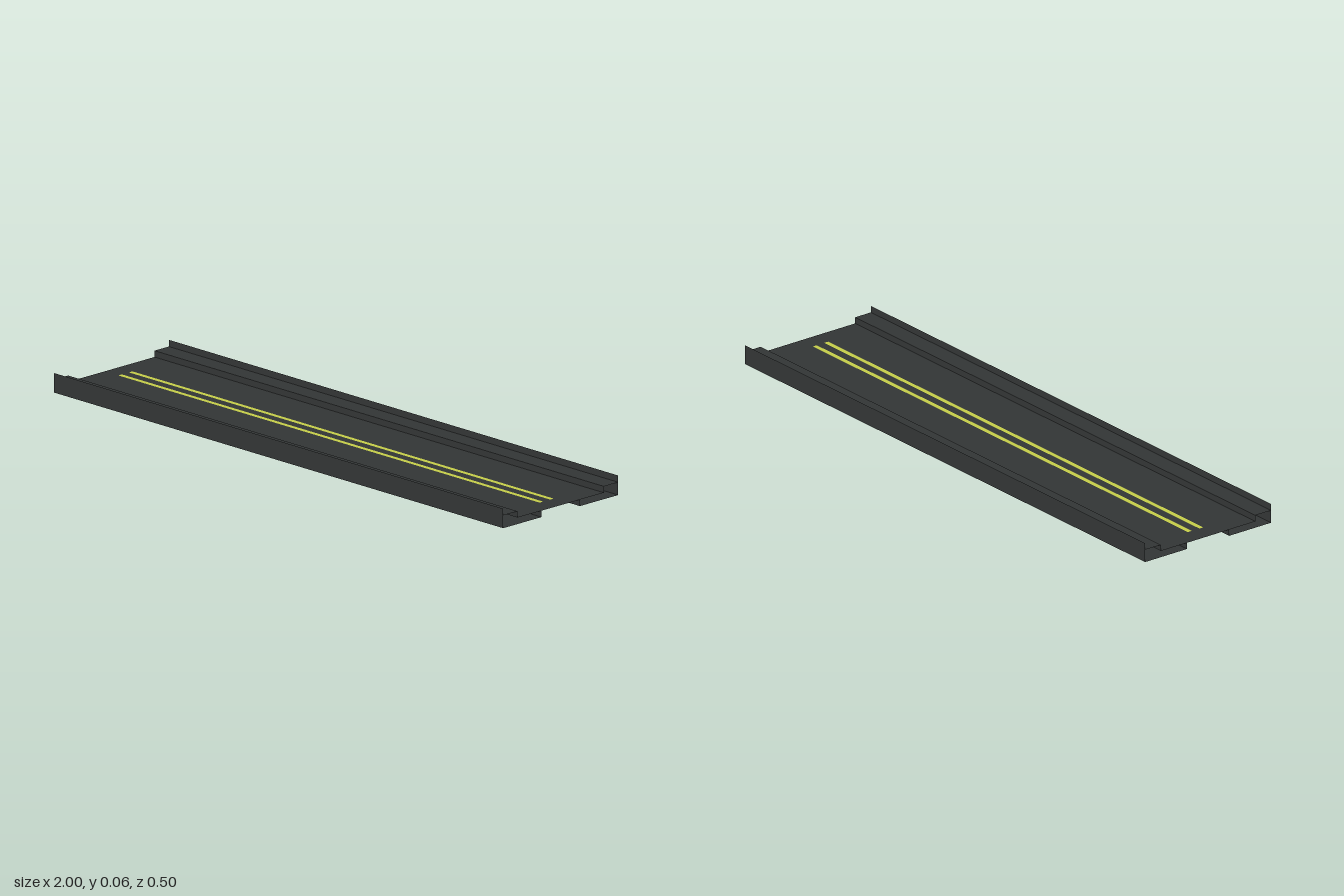
import * as THREE from 'three';

const LENGTH = 2, HALF_WIDTH = 0.25, TOP = 0.0635;
const CURB_Z = 0.1875, CURB_Y = 0.0417, ROAD_Y = 0.021, CHANNEL_Z = 0.0833;

const asphalt = new THREE.MeshStandardMaterial({ color: 0x333636, side: THREE.DoubleSide });
const paint = new THREE.MeshStandardMaterial({ color: 0xc8d04a, side: THREE.DoubleSide });

// Flat sheet running along x between two (z, y) points of the cross-section
function sheet(name, [z0, y0], [z1, y1], material = asphalt, length = LENGTH) {
  const geometry = new THREE.PlaneGeometry(length, Math.hypot(z1 - z0, y1 - y0));
  geometry.rotateX(Math.atan2(z1 - z0, y1 - y0));
  const mesh = new THREE.Mesh(geometry, material);
  mesh.position.set(0, (y0 + y1) / 2, (z0 + z1) / 2);
  mesh.name = name;
  return mesh;
}

export function createModel() {
  const group = new THREE.Group();
  group.name = 'roadSegment';

  // Road deck, also the roof of the open channel underneath
  group.add(sheet('roadDeck', [CURB_Z, ROAD_Y], [-CURB_Z, ROAD_Y]));

  for (const s of [1, -1]) {
    const side = new THREE.Group();
    side.name = s > 0 ? 'frontSide' : 'backSide';
    // Order the ends so that the upper faces point up and the walls point outward
    const add = (name, a, b) => {
      const [p, q] = [[a[0] * s, a[1]], [b[0] * s, b[1]]];
      side.add(s > 0 ? sheet(name, p, q) : sheet(name, q, p));
    };
    add('sideWall', [HALF_WIDTH, 0], [HALF_WIDTH, TOP]);
    add('walkway', [HALF_WIDTH, CURB_Y], [CURB_Z, CURB_Y]);
    add('curb', [CURB_Z, CURB_Y], [CURB_Z, ROAD_Y]);
    add('underside', [CHANNEL_Z, 0], [HALF_WIDTH, 0]);
    add('channelWall', [CHANNEL_Z, ROAD_Y], [CHANNEL_Z, 0]);

    // Painted centre line
    const y = ROAD_Y + 0.001;
    side.add(sheet('centreLine', [s * 0.0228 + 0.0078, y], [s * 0.0228 - 0.0078, y], paint, 1.875));
    group.add(side);
  }
  return group;
}
